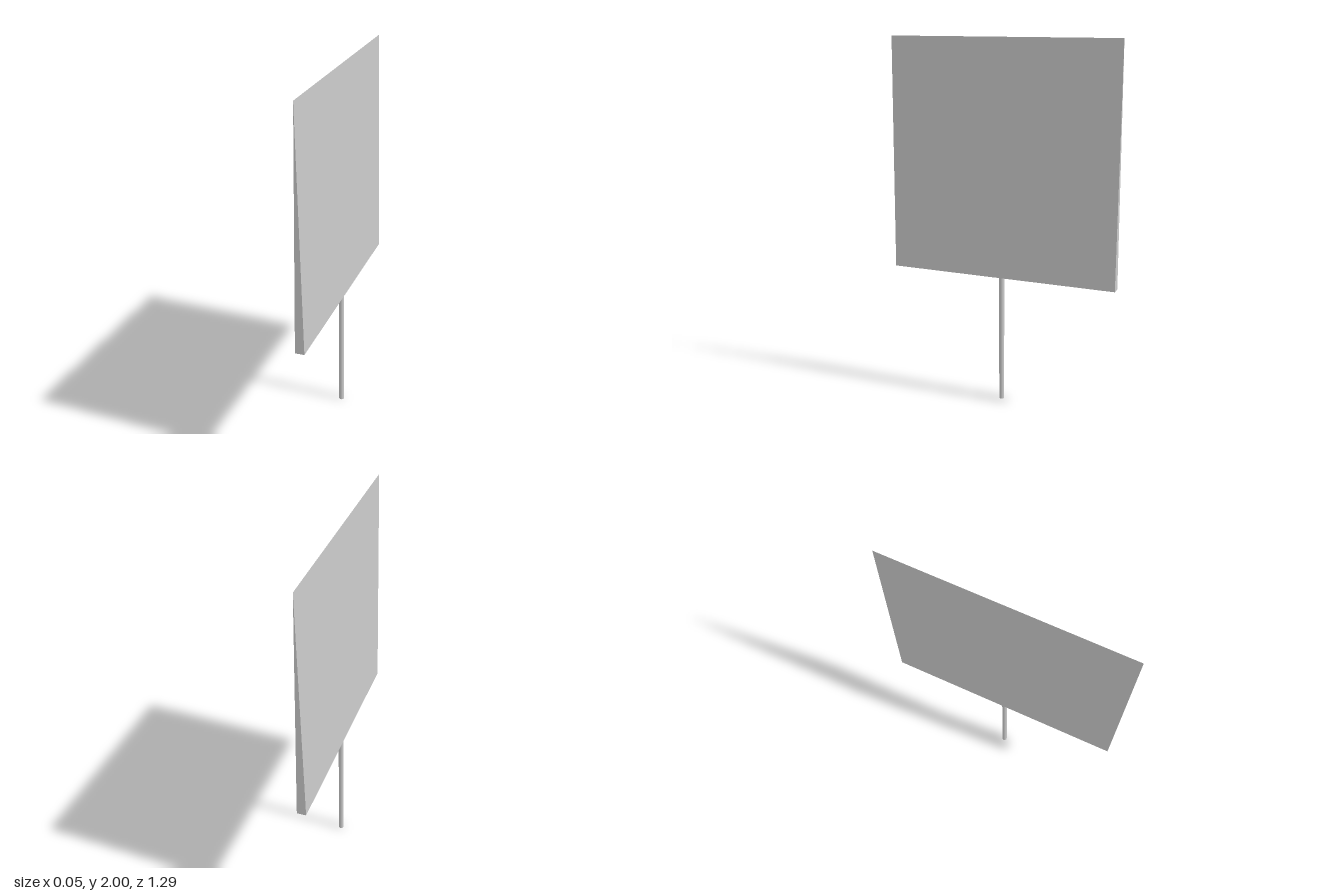
import * as THREE from 'three';

export function createModel() {
  const group = new THREE.Group();
  const grey = (flat) => new THREE.MeshStandardMaterial({ color: 0xcccccc, flatShading: flat });
  const panelBase = 0.715, top = 2, panelHalfDepth = 0.643, panelHalfWidth = 0.025;

  // Wedge panel: a slim triangle extruded along z, tapering to a sharp top edge
  const profile = new THREE.Shape([
    new THREE.Vector2(-panelHalfWidth, panelBase),
    new THREE.Vector2(panelHalfWidth, panelBase),
    new THREE.Vector2(0, top),
  ]);
  const panelGeometry = new THREE.ExtrudeGeometry(profile, { depth: panelHalfDepth * 2, bevelEnabled: false });
  panelGeometry.translate(0, 0, -panelHalfDepth);
  const panel = new THREE.Mesh(panelGeometry, grey(true));
  panel.name = 'panel';
  group.add(panel);

  // Round post under the middle of the panel
  const post = new THREE.Mesh(new THREE.CylinderGeometry(0.014, 0.014, panelBase, 16), grey(false));
  post.name = 'post';
  post.position.y = panelBase / 2;
  group.add(post);

  return group;
}
